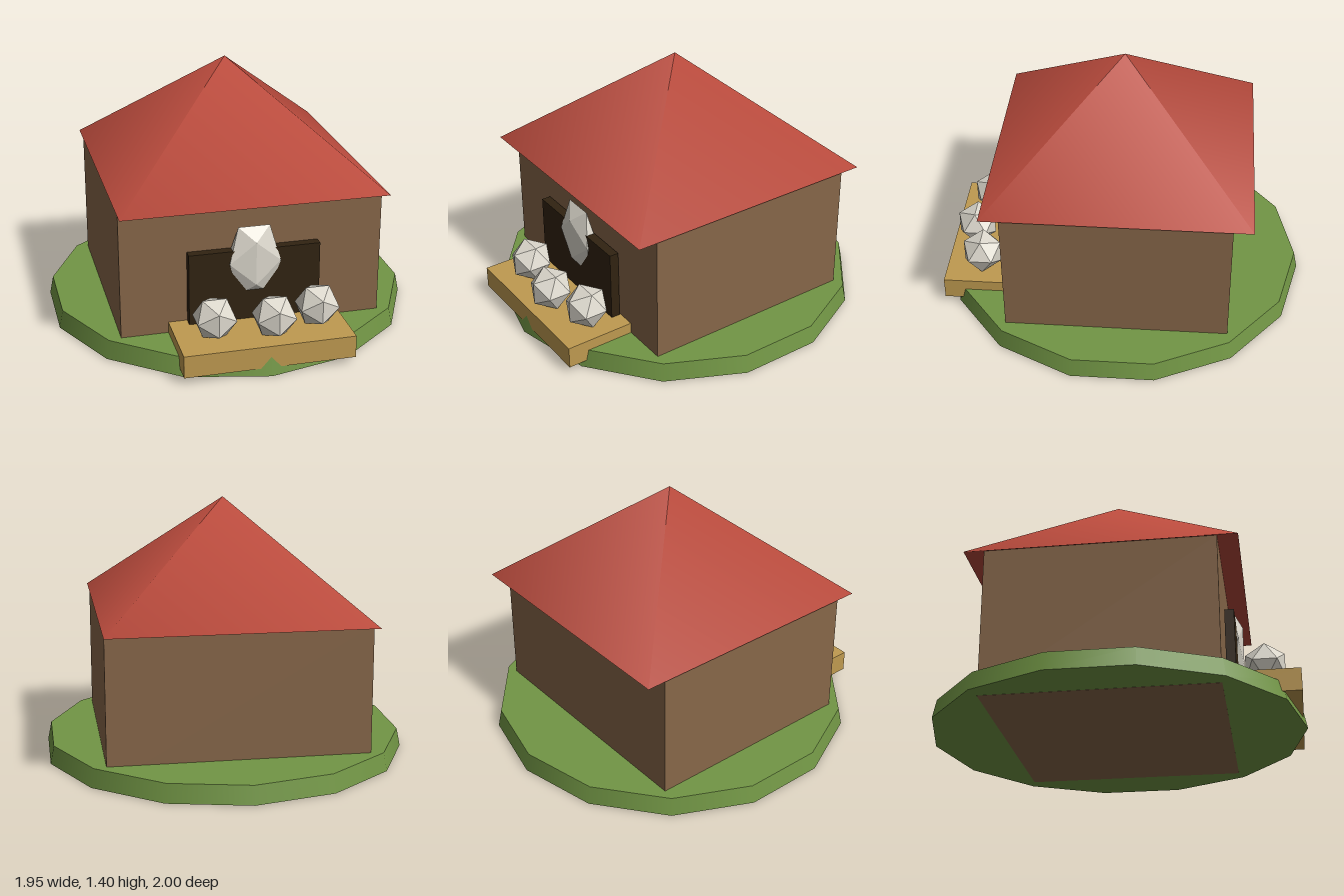
import * as THREE from 'three';

const material = (name, color, extra = {}) => {
  const m = new THREE.MeshStandardMaterial({ color, ...extra });
  m.name = name;
  return m;
};

export function createModel() {
  const group = new THREE.Group();
  const grass = material('grass green', 0x729645);
  const wall = material('wall brown', 0x876749);
  const roofRed = material('roof red', 0xb84a3c);
  const dark = material('dark brown', 0x312311);
  const wood = material('light wood', 0xbf9a50);
  const stone = material('pale stone', 0xdcd8cd, { flatShading: true });

  const add = (name, geometry, mat, x, y, z) => {
    const mesh = new THREE.Mesh(geometry, mat);
    mesh.name = name;
    mesh.position.set(x, y, z);
    group.add(mesh);
    return mesh;
  };

  // Fourteen-sided lawn, a hair above the house floor so the faces do not overlap
  add('lawn', new THREE.CylinderGeometry(0.98, 1, 0.099, 14), grass, 0, 0.0505, 0);

  // House body and pyramid roof
  add('walls', new THREE.BoxGeometry(1.4, 0.8, 1.2), wall, 0, 0.4, 0);
  const roof = add('roof', new THREE.ConeGeometry(1, 0.6, 4), roofRed, 0, 1.1, 0);
  roof.rotation.y = Math.PI / 4;

  // Dark opening and the counter in front of it
  add('opening', new THREE.BoxGeometry(0.7, 0.45, 0.05), dark, 0, 0.325, 0.63);
  add('counter', new THREE.BoxGeometry(0.9, 0.12, 0.4), wood, 0, 0.1, 0.78);

  // Tall flattened stone on the opening
  const emblem = add('wallStone', new THREE.IcosahedronGeometry(0.16, 0), stone, 0, 0.48, 0.63);
  emblem.scale.set(1, 1.4, 0.4);

  // Round stones on the counter
  for (const [x, z] of [[-0.25, 0.8], [0.05, 0.85], [0.3, 0.78]]) {
    add('counterStone', new THREE.IcosahedronGeometry(0.12, 0), stone, x, 0.26, z);
  }

  return group;
}
